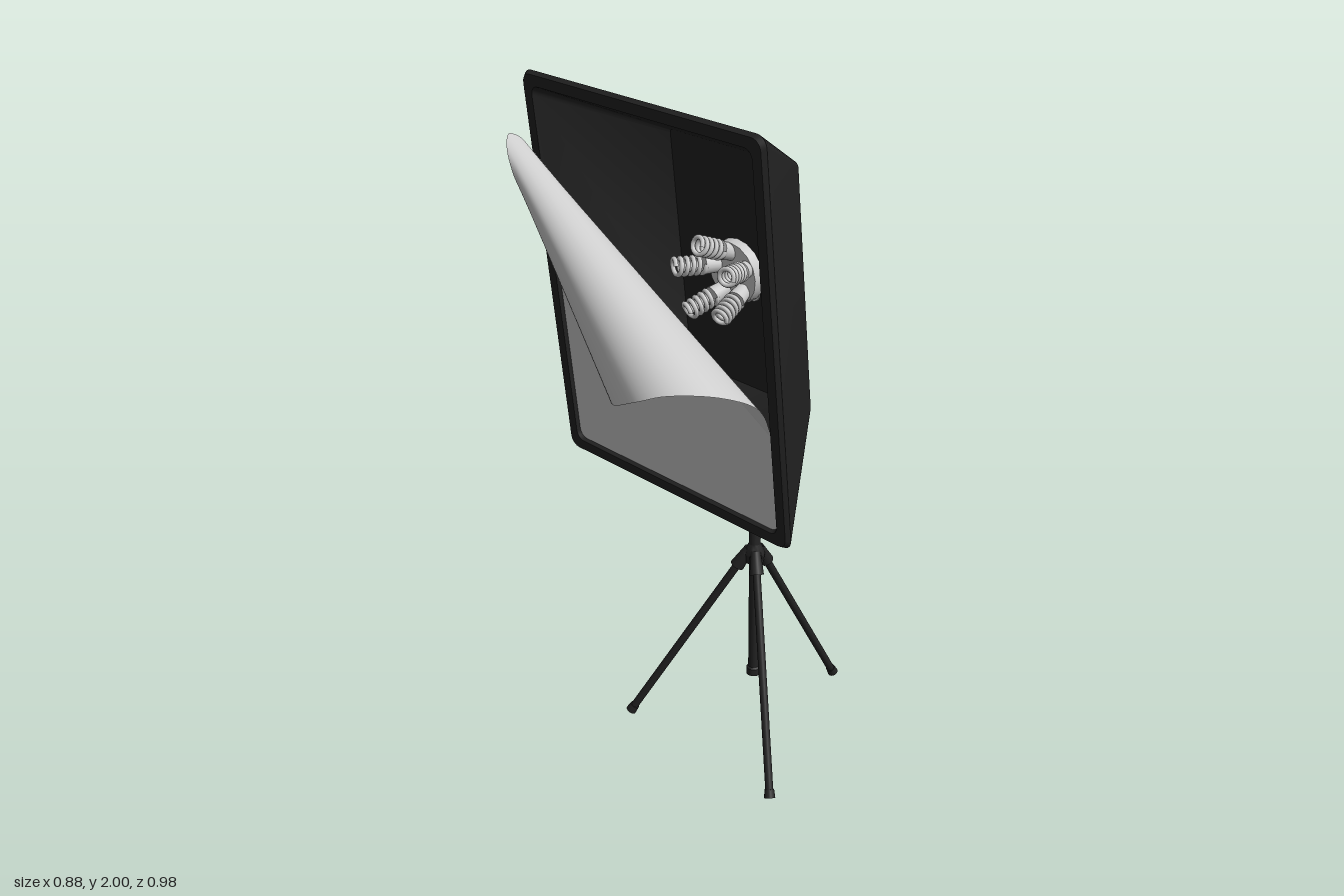
import * as THREE from 'three';
import { toCreasedNormals } from 'three/addons/utils/BufferGeometryUtils.js';
import { ParametricGeometry } from 'three/addons/geometries/ParametricGeometry.js';

const V = (x, y, z) => new THREE.Vector3(x, y, z);
const black = new THREE.MeshStandardMaterial({ color: 0x222222 });
const grey = new THREE.MeshStandardMaterial({ color: 0xcccccc });
const cloth = new THREE.MeshStandardMaterial({ color: 0xcccccc, side: THREE.DoubleSide });

function add(parent, name, geometry, material) {
  const mesh = new THREE.Mesh(geometry, material);
  mesh.name = name;
  parent.add(mesh);
  return mesh;
}

// Cylinder running between two points
function rod(parent, name, a, b, r0, r1 = r0, material = black) {
  const mesh = add(parent, name, new THREE.CylinderGeometry(r1, r0, a.distanceTo(b), 16), material);
  mesh.position.copy(a).lerp(b, 0.5);
  mesh.quaternion.setFromUnitVectors(V(0, 1, 0), b.clone().sub(a).normalize());
  return mesh;
}

// Counter-clockwise rounded rectangle from half sizes
function rectPoints(w, h, r, steps = 5) {
  const points = [];
  [[1, 1], [-1, 1], [-1, -1], [1, -1]].forEach(([sx, sy], q) => {
    for (let i = 0; i <= steps; i++) {
      const a = (q + i / steps) * Math.PI / 2;
      points.push(new THREE.Vector2(sx * (w - r) + r * Math.cos(a), sy * (h - r) + r * Math.sin(a)));
    }
  });
  return points;
}

// Skin over rounded rectangle rings given as [halfWidth, halfHeight, radius, z]
function loft(rings) {
  const pos = [], index = [], n = rectPoints(1, 1, 0.1).length;
  rings.forEach(([w, h, r, z]) => rectPoints(w, h, r).forEach(p => pos.push(p.x, p.y, z)));
  for (let k = 0; k < rings.length - 1; k++)
    for (let j = 0; j < n; j++) {
      const a = k * n + j, b = k * n + (j + 1) % n;
      index.push(a, b, b + n, a, b + n, a + n);
    }
  const g = new THREE.BufferGeometry();
  g.setAttribute('position', new THREE.Float32BufferAttribute(pos, 3));
  g.setIndex(index);
  return toCreasedNormals(g, 0.6);
}

class Coil extends THREE.Curve {
  getPoint(t, target = V()) {
    const a = t * Math.PI * 2 * 5;
    return target.set(0.022 * Math.cos(a), 0.045 + 0.085 * t, 0.022 * Math.sin(a));
  }
}

function makeSoftbox() {
  const box = new THREE.Group();
  box.name = 'softbox';
  box.position.set(0.015, 1.4525, 0.2535);
  box.rotation.x = 0.1;
  // Closed back, sloping walls, front rim, then the inside
  add(box, 'softboxShell', loft([
    [0, 0, 0, -0.315], [0.222, 0.342, 0.01, -0.315], [0.23, 0.35, 0.014, -0.308],
    [0.425, 0.55, 0.03, -0.012], [0.417, 0.543, 0.028, 0], [0.388, 0.514, 0.025, 0],
    [0.383, 0.508, 0.025, -0.012], [0.222, 0.342, 0.01, -0.303], [0, 0, 0, -0.303]
  ]), black);
  // Flat part of the diffuser, cut along the fold
  const w = 0.385, h = 0.51, r = 0.025, s = new THREE.Shape();
  s.moveTo(-w, 0.27);
  s.lineTo(-w, -h + r);
  s.quadraticCurveTo(-w, -h, -w + r, -h);
  s.lineTo(w - r, -h);
  s.quadraticCurveTo(w, -h, w, -h + r);
  s.lineTo(w, -0.235);
  add(box, 'diffuserSheet', new THREE.ShapeGeometry(s), cloth).position.z = -0.01;
  return box;
}

// Loose corner of the diffuser rolled forward like a cone
function makeCurl(parent) {
  const narrow = new THREE.CatmullRomCurve3([
    V(-0.37, 1.72, 0.271), V(-0.40, 1.78, 0.287), V(-0.425, 1.82, 0.305), V(-0.44, 1.832, 0.33),
    V(-0.42, 1.81, 0.355), V(-0.39, 1.77, 0.37), V(-0.36, 1.72, 0.37), V(-0.34, 1.69, 0.35)]);
  const wide = new THREE.CatmullRomCurve3([
    V(0.40, 1.22, 0.221), V(0.40, 1.31, 0.265), V(0.37, 1.365, 0.36), V(0.28, 1.372, 0.455),
    V(0.20, 1.34, 0.487), V(0.07, 1.28, 0.45), V(-0.01, 1.285, 0.365), V(-0.07, 1.31, 0.27)]);
  add(parent, 'diffuserCurl', new ParametricGeometry((u, v, out) => {
    out.copy(narrow.getPoint(u)).lerp(wide.getPoint(u), v);
  }, 40, 12), cloth);
}

function makeLamp() {
  const lamp = new THREE.Group();
  lamp.name = 'lampHead';
  lamp.position.set(0.017, 1.478, 0);
  // Housing with a recessed back inside a raised flange
  add(lamp, 'housing', loft([
    [0, 0, 0, -0.172], [0.062, 0.06, 0.022, -0.172], [0.064, 0.062, 0.022, -0.187],
    [0.074, 0.072, 0.028, -0.187], [0.077, 0.075, 0.03, -0.183], [0.077, 0.075, 0.03, -0.173],
    [0.071, 0.069, 0.026, -0.168], [0.071, 0.069, 0.026, -0.05], [0, 0, 0, -0.05]
  ]), grey);
  // Cooling ridges on both sides
  for (const side of [-1, 1])
    for (let i = 0; i < 4; i++)
      add(lamp, 'ridge', new THREE.BoxGeometry(0.006, 0.006, 0.09), grey)
        .position.set(side * 0.072, -0.042 + i * 0.016, -0.12);
  // Carrying handle and switches on the back
  const path = new THREE.CatmullRomCurve3([
    V(-0.04, 0.064, -0.172), V(-0.04, 0.062, -0.2), V(-0.036, 0.05, -0.206),
    V(-0.028, 0.01, -0.206), V(-0.026, -0.004, -0.2), V(-0.026, -0.006, -0.172)]);
  add(lamp, 'handle', new THREE.TubeGeometry(path, 32, 0.007, 8), grey);
  rod(lamp, 'handleGrip', V(-0.062, 0.06, -0.197), V(-0.018, 0.06, -0.197), 0.009, 0.009, grey);
  for (let i = 0; i < 4; i++)
    add(lamp, 'switch', new THREE.BoxGeometry(0.016, 0.022, 0.014), grey)
      .position.set(-0.039 + i * 0.026, -0.038, -0.176);
  // Round holder inside the softbox
  rod(lamp, 'bulbHolder', V(0, 0.008, -0.06), V(0, 0.005, -0.02), 0.09, 0.085, grey);
  // Five splayed spiral bulbs
  const coil = new THREE.TubeGeometry(new Coil(), 120, 0.0065, 8);
  for (let i = 0; i < 5; i++) {
    const a = THREE.MathUtils.degToRad(97 + i * 72);
    const bulb = new THREE.Group();
    bulb.name = 'spiralBulb';
    bulb.position.set(0.055 * Math.cos(a), 0.005 + 0.055 * Math.sin(a), -0.025);
    bulb.quaternion.setFromUnitVectors(V(0, 1, 0),
      V(0.4 * Math.cos(a), 0.4 * Math.sin(a), 1).normalize());
    rod(bulb, 'bulbBase', V(0, 0, 0), V(0, 0.045, 0), 0.022, 0.026, grey);
    add(bulb, 'bulbCoil', coil, grey);
    lamp.add(bulb);
  }
  return lamp;
}

function makeStand() {
  const stand = new THREE.Group();
  stand.name = 'stand';
  stand.position.set(0.015, 0, -0.117);
  // Telescoping pole turned in one profile: [radius, height]
  const profile = [[0, 0.185], [0.021, 0.185], [0.021, 0.207], [0.016, 0.212], [0.016, 0.565],
    [0.026, 0.572], [0.03, 0.6], [0.022, 0.622], [0.017, 0.632], [0.017, 0.845], [0.021, 0.85],
    [0.021, 0.865], [0.017, 0.87], [0.017, 0.877], [0.022, 0.88], [0.022, 0.9], [0.015, 0.905],
    [0.015, 1.06], [0.02, 1.065], [0.02, 1.08], [0.016, 1.083], [0.02, 1.088], [0.02, 1.103],
    [0.013, 1.107], [0.013, 1.325], [0.019, 1.33], [0.021, 1.36], [0.021, 1.395], [0.024, 1.405],
    [0.024, 1.418], [0, 1.418]];
  const pole = new THREE.LatheGeometry(profile.map(p => new THREE.Vector2(...p)), 24);
  add(stand, 'pole', toCreasedNormals(pole, 0.5), black);
  // Two front legs and one back leg with rubber feet
  for (const [x, z] of [[-0.295, 0.232], [0.295, 0.232], [0, -0.36]]) {
    const out = V(x, 0, z).normalize();
    const hip = out.clone().multiplyScalar(0.026).setY(0.595);
    const foot = V(x, 0.014, z);
    const along = t => hip.clone().lerp(foot, t);
    rod(stand, 'leg', hip, foot, 0.0115);
    rod(stand, 'legJoint', along(-0.03), along(0.07), 0.021, 0.015).rotateX(Math.PI);
    rod(stand, 'foot', along(0.965), along(1), 0.014, 0.016);
    rod(stand, 'legBracket', V(0, 0.605, 0), hip, 0.018);
  }
  return stand;
}

export function createModel() {
  const model = new THREE.Group();
  model.name = 'studioLight';
  model.add(makeSoftbox(), makeLamp(), makeStand());
  makeCurl(model);
  return model;
}
